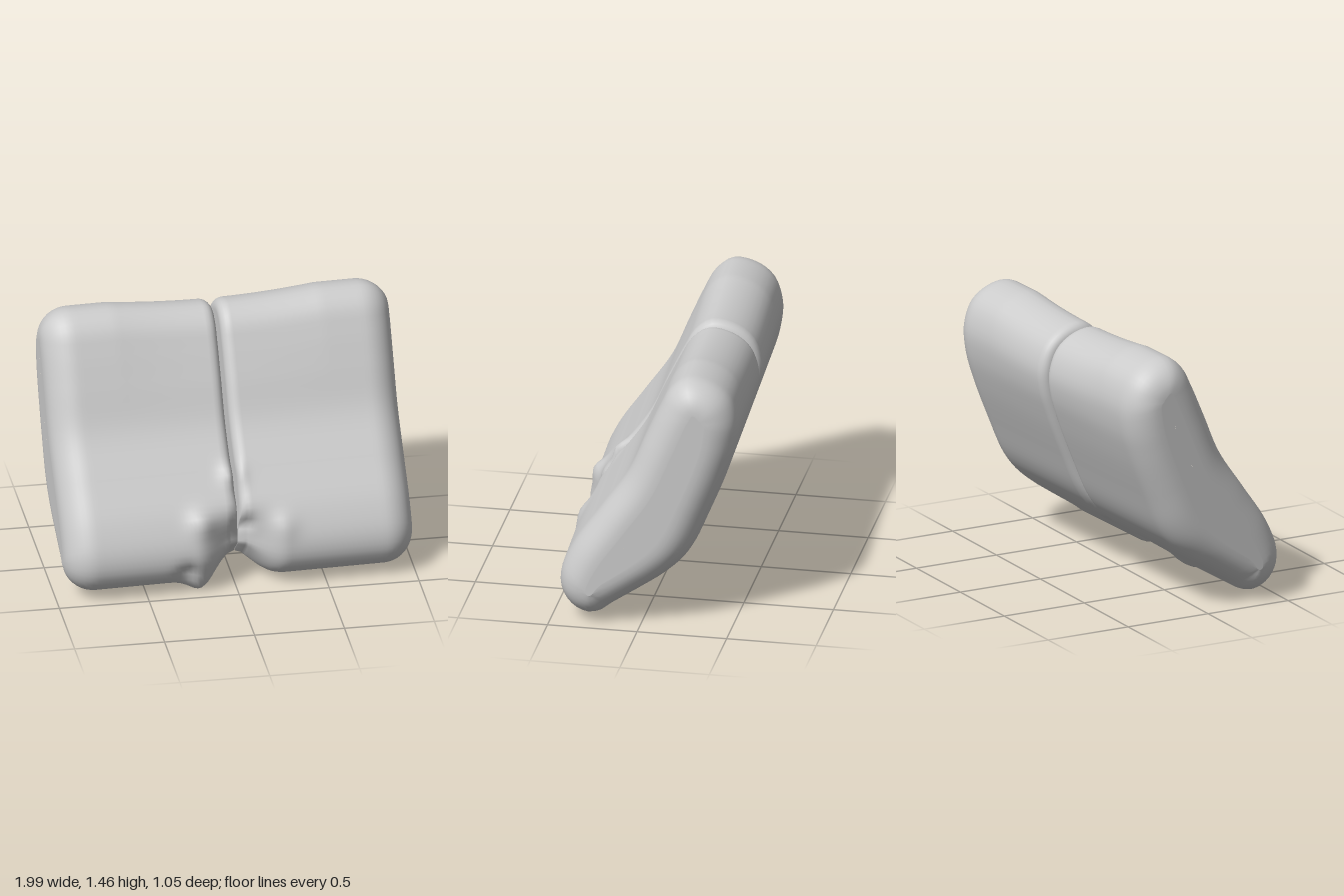
import * as THREE from 'three';

const { smoothstep } = THREE.MathUtils;
const vec = ([z, y]) => new THREE.Vector3(0, y, z);

// Side outline (z, y): bottom, front, top, back
const OUTLINE = [
  [0.33, 0.03], [0.42, 0.07], [0.48, 0.16], [0.485, 0.27], [0.42, 0.43], [0.27, 0.65],
  [0.12, 0.87], [0.02, 1.1], [-0.06, 1.28], [-0.12, 1.39], [-0.21, 1.455], [-0.34, 1.435],
  [-0.44, 1.36], [-0.49, 1.22], [-0.48, 1.07], [-0.43, 0.9], [-0.33, 0.65], [-0.25, 0.47],
  [-0.18, 0.37], [-0.08, 0.28], [0.02, 0.21], [0.2, 0.09], [0.26, 0.045],
];
// Centre line of the padding, which the edges roll towards
const SPINE = [[0.31, 0.2], [0.2, 0.36], [0.03, 0.6], [-0.14, 0.87], [-0.23, 1.07], [-0.28, 1.24]];

// Puckers in the fabric: x, y, z, radius, height
const PUCKERS = [
  [-0.22, 0.41, 0.44, 0.07, 0.04], [-0.22, 0.05, 0.37, 0.08, 0.05],
  [-0.02, 0.62, 0.29, 0.06, 0.04], [0.24, 0.36, 0.46, 0.07, 0.02],
  [-0.3, 0.13, 0.48, 0.06, -0.03], [0.05, 0.36, 0.44, 0.04, -0.03],
];

const N = 96;
const outline = new THREE.CatmullRomCurve3(OUTLINE.map(vec), true).getSpacedPoints(N).slice(0, N);
const spinePts = new THREE.CatmullRomCurve3(SPINE.map(vec)).getSpacedPoints(14);

function nearestOnSpine(p) {
  let best = null;
  for (let i = 0; i + 1 < spinePts.length; i++) {
    const q = new THREE.Line3(spinePts[i], spinePts[i + 1]).closestPointToPoint(p, true, new THREE.Vector3());
    if (!best || q.distanceTo(p) < best.distanceTo(p)) best = q;
  }
  return best;
}
const cores = outline.map(nearestOnSpine);

// Stations across one cushion: distance from the middle, inset, and cap closing 0..1
function stations() {
  const inner = 0.012, outer = 0.975, r = 0.055, R = 0.17, list = [];
  for (const c of [1, 0.6, 0.25, 0.06]) list.push([inner, r, c]);
  for (let i = 0; i <= 6; i++) {
    const a = (i / 6) * Math.PI / 2;
    list.push([inner + r * (1 - Math.cos(a)), r * (1 - Math.sin(a)), 0]);
  }
  for (let i = 1; i < 32; i++) {
    list.push([inner + r + (outer - R - inner - r) * Math.pow(i / 32, 1.3), 0, 0]);
  }
  for (let i = 0; i <= 10; i++) {
    const a = (i / 10) * Math.PI / 2;
    list.push([outer - R * (1 - Math.sin(a)), R * (1 - Math.cos(a)), 0]);
  }
  for (const c of [0.1, 0.4, 0.7, 1]) list.push([outer, R, c]);
  return list;
}

function cushionGeometry(side) {
  const rings = stations(), pos = [], index = [];
  rings.forEach(([dist, inset, close]) => {
    outline.forEach((edge, i) => {
      const core = cores[i];
      const out = edge.clone().sub(core);
      const len = out.length();
      out.divideScalar(len);
      let reach = Math.max(len - inset, 0.02) * (1 - close);
      const p = core.clone().addScaledVector(out, reach);
      p.x = side * dist;
      // raised and sunken puckers
      let lift = 0;
      for (const [x, y, z, r, h] of PUCKERS) {
        const d2 = (p.x - x) ** 2 + (p.y - y) ** 2 + (p.z - z) ** 2;
        lift += h * Math.exp(-d2 / (r * r));
      }
      p.addScaledVector(out, lift);
      // notch at the bottom front where the two cushions are gathered
      const notch = dist < 0.26 ? 0.5 + 0.5 * Math.cos(Math.PI * dist / 0.26) : 0;
      p.z -= 0.13 * notch * smoothstep(p.z, 0.2, 0.42) * (1 - smoothstep(p.y, 0.25, 0.5));
      p.y += 0.1 * notch * notch * (1 - smoothstep(p.y, 0.08, 0.3));
      // seam pinched shut low down
      if (dist < 0.03) p.x *= 0.1 + 0.9 * smoothstep(p.y, 0.25, 0.6);
      // top edge sags towards the seam
      p.y -= 0.035 * Math.max(0, 1 - (dist / 0.58) ** 2) * smoothstep(p.y, 0.9, 1.4);
      // whole pad is turned slightly
      pos.push(p.x + 0.055 * p.z, p.y, p.z - 0.04 * p.x);
    });
  });
  for (let j = 0; j + 1 < rings.length; j++) {
    for (let i = 0; i < N; i++) {
      const k = (i + 1) % N;
      const a = j * N + i, b = a + N, c = j * N + k, d = c + N;
      if (side > 0) index.push(a, b, d, a, d, c);
      else index.push(a, d, b, a, c, d);
    }
  }
  const g = new THREE.BufferGeometry();
  g.setAttribute('position', new THREE.Float32BufferAttribute(pos, 3));
  g.setIndex(index);
  g.computeVertexNormals();
  return g;
}

export function createModel() {
  const group = new THREE.Group();
  group.name = 'doubleCushion';
  const material = new THREE.MeshStandardMaterial({ color: 0xcccccc });
  for (const [name, side] of [['leftCushion', 1], ['rightCushion', -1]]) {
    const mesh = new THREE.Mesh(cushionGeometry(side), material);
    mesh.name = name;
    group.add(mesh);
  }
  return group;
}
